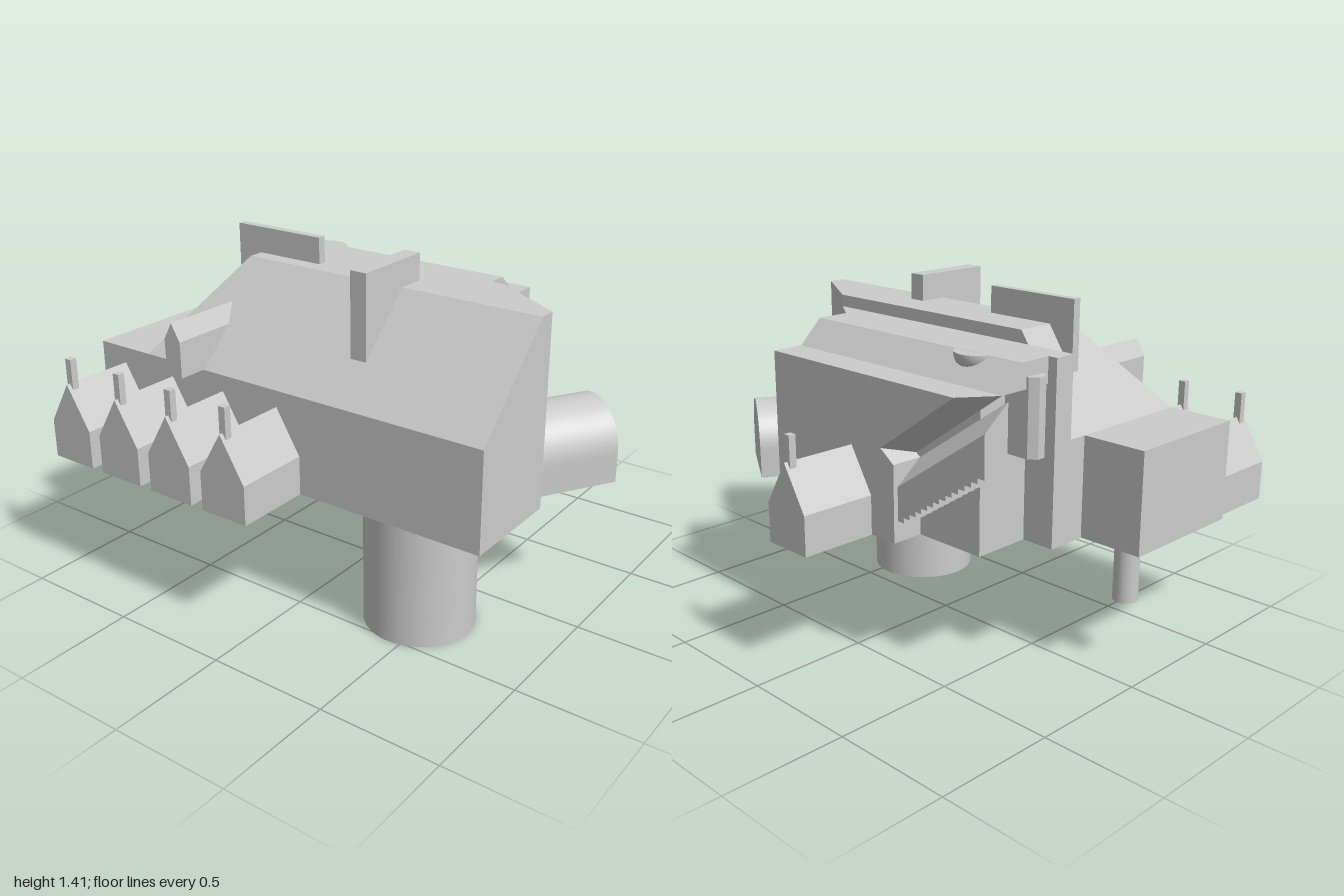
import * as THREE from 'three';
import { ConvexGeometry } from 'three/addons/geometries/ConvexGeometry.js';

const mat = new THREE.MeshStandardMaterial({ color: 0xcccccc });

export function createModel() {
  const model = new THREE.Group();
  const add = (name, geo, x = 0, y = 0, z = 0, parent = model) => {
    const m = new THREE.Mesh(geo, mat);
    m.name = name;
    m.position.set(x, y, z);
    parent.add(m);
    return m;
  };
  // box from min and max corners
  const box = (name, x0, x1, y0, y1, z0, z1, parent) =>
    add(name, new THREE.BoxGeometry(x1 - x0, y1 - y0, z1 - z0),
      (x0 + x1) / 2, (y0 + y1) / 2, (z0 + z1) / 2, parent);
  const hull = (name, pts) =>
    add(name, new ConvexGeometry(pts.map(p => new THREE.Vector3(...p))));
  // side profile of [z, y] points, extruded along x
  const sideExtrude = (pts, x0, x1) => {
    const s = new THREE.Shape(pts.map(([z, y]) => new THREE.Vector2(-z, y)));
    return new THREE.ExtrudeGeometry(s, { depth: x1 - x0, bevelEnabled: false })
      .rotateY(Math.PI / 2).translate(x0, 0, 0);
  };
  // move matching vertices, then refresh the flat normals
  const reshape = (geo, rule) => {
    const p = geo.attributes.position;
    const v = new THREE.Vector3();
    for (let i = 0; i < p.count; i++) {
      v.fromBufferAttribute(p, i);
      rule(v);
      p.setXYZ(i, v.x, v.y, v.z);
    }
    geo.computeVertexNormals();
    return geo;
  };

  const base = 0.53;

  // tall hall with one sloped side and a hipped back
  hull('mainHall', [
    [-0.55, base, 0.86], [-0.11, base, 0.86], [0.08, base, 0.55], [0.08, base, -0.73], [-0.55, base, -0.73],
    [-0.55, 0.935, 0.86], [-0.55, 0.935, -0.73], [0.08, 0.935, -0.73],
    [-0.18, 1.305, 0.86], [-0.11, 1.305, 0.86], [0.08, 1.305, 0.55],
    [0.08, 1.305, -0.48], [-0.18, 1.305, -0.48],
  ]);

  // middle strip, cut diagonally at the front
  const strip = [];
  for (const y of [base, 1.255])
    strip.push([0.08, y, 0.55], [0.165, y, 0.42], [0.17, y, 0.42], [0.17, y, -0.73], [0.08, y, -0.73]);
  hull('middleStrip', strip);

  // side hall and its overhanging chamfered roof
  box('sideHall', 0.17, 0.41, base, 1.155, -0.59, 0.42);
  const roof = [];
  for (const z of [-0.69, 0.42])
    roof.push([0.17, 1.155, z], [0.17, 1.255, z], [0.31, 1.255, z], [0.41, 1.155, z]);
  hull('sideRoof', roof);

  // outer wing with a raking cut over the stair
  const wing = sideExtrude([
    [0.42, base], [-0.28, base], [-0.28, 0.84], [-0.21, 0.89], [-0.59, 1.155], [0.42, 1.155],
  ], 0.41, 0.545);
  reshape(wing, v => {
    if (v.x > 0.42) return;
    if (Math.abs(v.z + 0.21) < 0.01) { v.z -= 0.05; v.y -= 0.035; }
    if (Math.abs(v.z + 0.59) < 0.01) v.z -= 0.1;
  });
  add('outerWing', wing);

  // stair flight: stepped underside, top sloping outwards
  const steps = [[-0.28, 0.84], [-0.28, 0.615]];
  const n = 14;
  for (let i = 1; i <= n; i++) {
    const z = -0.28 - 0.44 * i / n;
    const y = 0.615 + 0.29 * i / n;
    steps.push([z, y - 0.29 / n], [z, y]);
  }
  steps.push([-0.72, 1.14]);
  const topLine = z => 0.84 + (-0.28 - z) * 0.3 / 0.44;
  add('stairFlight', reshape(sideExtrude(steps, 0.41, 0.525), v => {
    if (v.x > 0.5 && Math.abs(v.y - topLine(v.z)) < 0.01) v.y -= 0.09;
  }));

  // rounded bowl on the chamfer
  const bowl = new THREE.Group();
  bowl.name = 'roofBowl';
  bowl.position.set(0.28, 1.254, -0.45);
  model.add(bowl);
  add('bowl', new THREE.SphereGeometry(0.09, 24, 8, 0, Math.PI * 2, Math.PI / 2, Math.PI / 2), 0, 0, 0, bowl);
  add('bowlTop', new THREE.CircleGeometry(0.09, 24).rotateX(-Math.PI / 2), 0, 0, 0, bowl);

  // small faceted bay on the back wall
  const bay = [];
  for (const y of [0.9, 1.2])
    bay.push([0.2, y, -0.58], [0.2, y, -0.7], [0.225, y, -0.73], [0.26, y, -0.73], [0.285, y, -0.7], [0.285, y, -0.58]);
  hull('backBay', bay);

  // rear annex and its support post
  box('rearAnnex', -0.55, 0, base, 0.935, -1, -0.73);
  add('rearPost', new THREE.CylinderGeometry(0.05, 0.05, 0.28, 24), -0.15, 0.405, -0.84);

  // large column
  add('mainColumn', new THREE.CylinderGeometry(0.224, 0.224, 0.54, 48), -0.293, 0.27, 0.447);

  // vaulted porch on the diagonal front
  const arch = new THREE.Shape();
  arch.moveTo(-0.18, base);
  arch.lineTo(0.18, base);
  arch.lineTo(0.18, 0.657);
  arch.absarc(0, 0.657, 0.18, 0, Math.PI, false);
  arch.lineTo(-0.18, base);
  const porch = add('vaultedPorch',
    new THREE.ExtrudeGeometry(arch, { depth: 0.4, bevelEnabled: false, curveSegments: 24 }), 0.015, 0, 0.63);
  porch.rotation.y = Math.atan2(0.853, 0.523);

  // gabled houses with a chimney, along both sides
  const house = (name, side, z) => {
    const g = new THREE.Group();
    g.name = name;
    g.position.z = z;
    model.add(g);
    const profile = [[0.107, base], [-0.107, base], [-0.107, 0.69], [0, 0.868], [0.107, 0.69]];
    const x0 = side > 0 ? 0.53 : -0.865;
    add('houseBody', sideExtrude(profile, x0, x0 + 0.333), 0, 0, 0, g);
    const cx = side * 0.833;
    box('houseChimney', cx - 0.015, cx + 0.015, 0.8, 0.97, -0.015, 0.015, g);
  };
  for (let i = 0; i < 4; i++) house('sideHouse', -1, -0.868 + i * 0.273);
  house('oppositeHouse', 1, -0.045);

  // dormer on the sloped roof
  add('dormer', sideExtrude([
    [-0.415, 0.938], [-0.495, 0.938], [-0.495, 1.085], [-0.455, 1.155], [-0.415, 1.085],
  ], -0.675, -0.3));

  // upright roof fins
  box('lengthwiseFin', -0.115, -0.08, 1.0, 1.413, -0.595, -0.175);
  box('crosswiseFin', -0.41, -0.065, 1.05, 1.413, 0.2, 0.27);

  return model;
}
